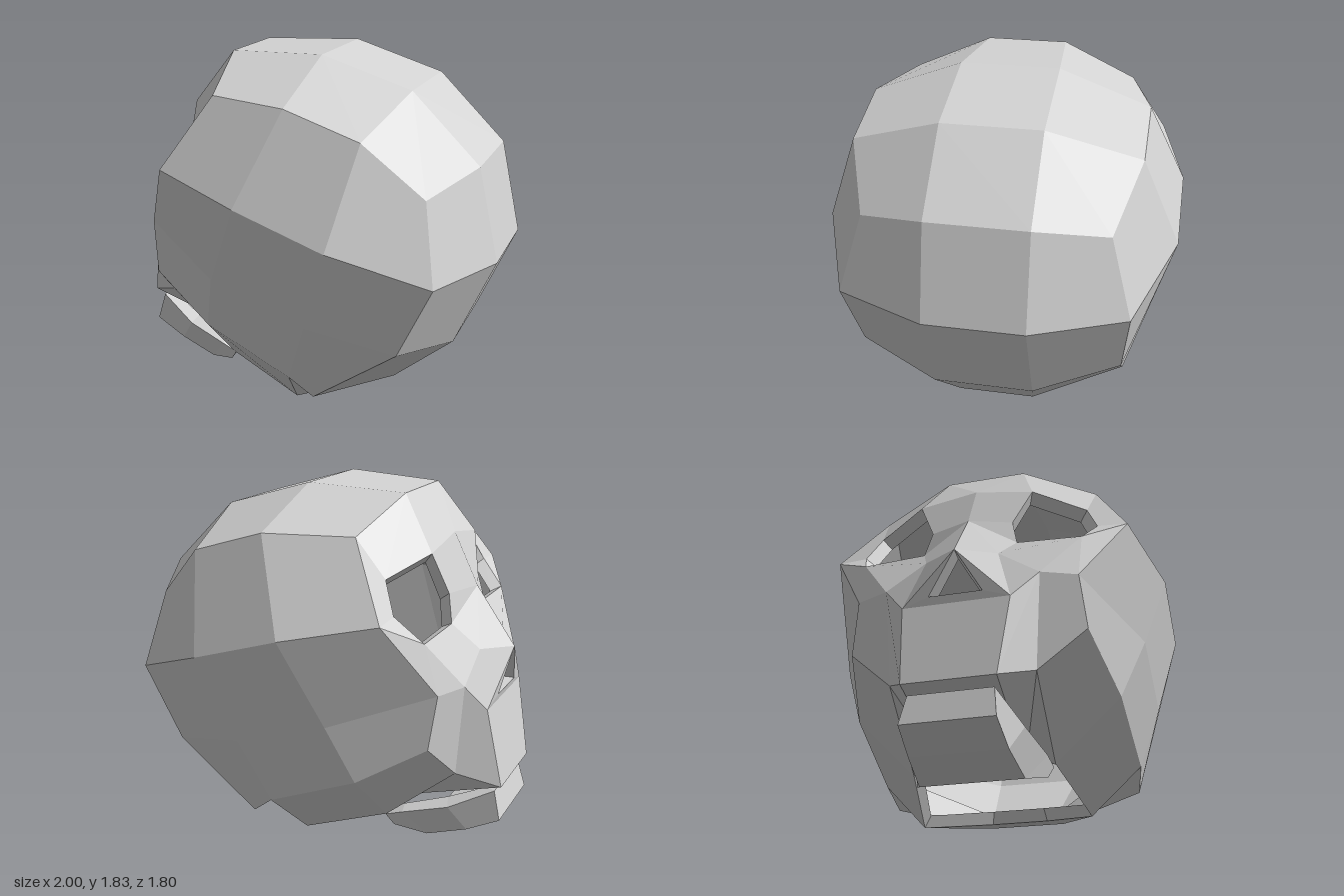
import * as THREE from 'three';

const v = (x, y, z) => new THREE.Vector3(x, y, z);
const row = (...pts) => pts.map((p) => v(...p));
const flip = (p) => v(p.x, p.y, -p.z);
const mean = (pts) => pts.reduce((s, p) => s.add(p), v(0, 0, 0)).divideScalar(pts.length);

// Thickness of the hollow shell, measured toward the middle of the head
const core = v(-0.05, 0.85, 0);
const inset = (p) => p.clone().add(core.clone().sub(p).setLength(0.07));

// Collects flat-shaded polygons and turns each one away from (or toward) a reference point
class Skin {
  constructor() { this.pos = []; this.nor = []; this.polys = []; }
  poly(pts, ref, toward = false) {
    this.polys.push({ pts, ref });
    const n = v(0, 0, 0);
    pts.forEach((p, i) => n.add(p.clone().cross(pts[(i + 1) % pts.length])));
    n.normalize();
    const turn = (n.dot(mean(pts).sub(ref)) > 0) === toward;
    if (turn) n.negate();
    for (let i = 1; i < pts.length - 1; i++) {
      const tri = turn ? [pts[0], pts[i + 1], pts[i]] : [pts[0], pts[i], pts[i + 1]];
      for (const p of tri) {
        this.pos.push(p.x, p.y, p.z);
        this.nor.push(n.x, n.y, n.z);
      }
    }
  }
  // the polygon and its mirror image across z = 0
  pair(pts, ref) {
    this.poly(pts, ref);
    this.poly(pts.map(flip), flip(ref));
  }
  // wall through the thickness of the shell around an opening
  rim(pts) {
    const mid = mean([...pts, ...pts.map(inset)]);
    pts.forEach((p, i) => {
      const q = pts[(i + 1) % pts.length];
      this.poly([p, q, inset(q), inset(p)], mid, true);
    });
  }
  mesh(name, material) {
    const g = new THREE.BufferGeometry();
    g.setAttribute('position', new THREE.Float32BufferAttribute(this.pos, 3));
    g.setAttribute('normal', new THREE.Float32BufferAttribute(this.nor, 3));
    const m = new THREE.Mesh(g, material);
    m.name = name;
    return m;
  }
}

export function createModel() {
  const bone = new THREE.MeshStandardMaterial({ color: 0xd4d4d4, side: THREE.DoubleSide });
  bone.name = 'bone grey';
  const group = new THREE.Group();
  group.name = 'skull';

  // Rows of the side of the head, top to bottom, each from the face to the back
  const side = [
    row([-0.36, 1.66, 0.59], [0.07, 1.66, 0.71], [0.45, 1.54, 0.71], [0.73, 1.27, 0.6]),
    row([-0.57, 1.31, 0.77], [-0.11, 1.21, 0.9], [0.35, 1.06, 0.9], [0.81, 0.88, 0.71]),
    row([-0.77, 0.94, 0.55], [-0.3, 0.78, 0.79], [0.2, 0.61, 0.79], [0.63, 0.49, 0.67]),
    row([-0.74, 0.67, 0.58], [-0.4, 0.46, 0.67], [0.07, 0.26, 0.69], [0.19, 0.16, 0.66]),
    row([-0.8, 0.46, 0.35], [-0.43, 0.14, 0.35], [0, 0, 0.44], [0.47, 0.1, 0.2]),
  ];
  // Edge of the strip that runs over the crown and down the back
  const crown = row([-0.44, 1.81, 0.21], [0.07, 1.83, 0.25], [0.54, 1.69, 0.25],
    [0.89, 1.35, 0.25], [1, 0.87, 0.25], [0.8, 0.4, 0.25]);
  crown.push(side[4][3]);
  const shoulder = [...side[0], side[1][3], side[2][3], side[3][3]];
  const baseBack = v(0.28, 0.07, 0.15);

  const cranium = new Skin();
  for (let r = 0; r < 4; r++) {
    for (let c = 0; c < 3; c++) {
      if (r === 3 && c === 2) continue;
      cranium.pair([side[r][c], side[r][c + 1], side[r + 1][c + 1], side[r + 1][c]], core);
    }
  }
  for (let i = 0; i < 6; i++) {
    cranium.pair([crown[i], crown[i + 1], shoulder[i + 1], shoulder[i]], core);
    cranium.poly([crown[i], crown[i + 1], flip(crown[i + 1]), flip(crown[i])], core);
  }
  // Folded corner under the ear and the underside behind the opening
  cranium.pair([side[3][2], side[3][3], crown[6]], core);
  cranium.pair([side[3][2], crown[6], side[4][2]], core);
  cranium.pair([crown[6], side[4][2], baseBack], core);
  cranium.poly([crown[6], baseBack, flip(baseBack), flip(crown[6])], core);
  group.add(cranium.mesh('cranium', bone));

  // Face: eye rim from inner brow round the outside to the nose
  const [browIn, browOut, eyeOut, eyeLow, eyeNose, eyeBridge] = row(
    [-0.62, 1.55, 0.3], [-0.5, 1.47, 0.56], [-0.57, 1.32, 0.62],
    [-0.7, 1.19, 0.56], [-0.71, 1.2, 0.24], [-0.68, 1.34, 0.21]);
  const [glabella, bridge, noseTip] = row([-0.62, 1.6, 0], [-0.75, 1.34, 0], [-0.96, 1.05, 0]);
  const [noseSide, cheek, upperLip, nostril, teeth, palateBack] = row([-0.84, 1.07, 0.18],
    [-0.84, 0.94, 0.38], [-0.92, 0.79, 0.26], [-0.93, 0.83, 0.13], [-1, 0.37, 0.22],
    [-0.4, 0.17, 0.2]);
  const temple = side[0][0], orbit = side[1][0], zygoma = side[2][0], molar = side[4][0];
  const face = new Skin();
  [
    [crown[0], temple, browOut, browIn],
    [temple, orbit, eyeOut, browOut],
    [orbit, eyeLow, eyeOut],
    [orbit, zygoma, eyeLow],
    [zygoma, cheek, eyeLow],
    [eyeLow, cheek, noseSide, eyeNose],
    [crown[0], browIn, glabella],
    [glabella, browIn, eyeBridge, bridge],
    [bridge, eyeBridge, eyeNose],
    [bridge, eyeNose, noseSide],
    [bridge, noseSide, noseTip],
    [noseSide, cheek, upperLip],
    [noseSide, upperLip, noseTip],
    [noseTip, upperLip, nostril],
    [zygoma, side[3][0], molar, cheek],
    [cheek, molar, teeth, upperLip],
    [molar, teeth, palateBack],
    [molar, palateBack, side[4][1]],
  ].forEach((pts) => face.pair(pts, v(-0.3, 0.95, 0.1)));
  face.poly([crown[0], glabella, flip(crown[0])], core);
  face.poly([nostril, upperLip, flip(upperLip), flip(nostril)], core);
  face.poly([upperLip, teeth, flip(teeth), flip(upperLip)], core);
  face.poly([teeth, palateBack, flip(palateBack), flip(teeth)], core);
  group.add(face.mesh('face', bone));

  // Inside of the hollow shell
  const lining = new Skin();
  for (const { pts, ref } of [...cranium.polys, ...face.polys]) {
    lining.poly(pts.map(inset), ref, true);
  }
  group.add(lining.mesh('innerShell', bone));

  // Edges of the openings
  const eyeRim = [browIn, browOut, eyeOut, eyeLow, eyeNose, eyeBridge];
  const sockets = new Skin();
  sockets.rim(eyeRim);
  sockets.rim(eyeRim.map(flip));
  group.add(sockets.mesh('eyeSocketRims', bone));

  const nose = new Skin();
  nose.rim([noseTip, nostril, flip(nostril)]);
  group.add(nose.mesh('nasalRim', bone));

  const half = [palateBack, side[4][1], side[4][2], baseBack];
  const base = new Skin();
  base.rim([...half, ...half.map(flip).reverse()]);
  group.add(base.mesh('skullBaseRim', bone));

  // Lower jaw: sections (outer top, outer bottom, inner bottom, inner top) swept round a U
  const arm = [
    row([-0.96, 0.33, 0.2], [-1, 0.18, 0.22], [-0.93, 0.2, 0.16], [-0.91, 0.32, 0.15]),
    row([-0.74, 0.22, 0.28], [-0.83, 0.09, 0.23], [-0.8, 0.14, 0.17], [-0.72, 0.25, 0.22]),
    row([-0.51, 0.16, 0.33], [-0.62, 0.02, 0.25], [-0.61, 0.07, 0.19], [-0.5, 0.18, 0.27]),
    row([-0.42, 0.13, 0.34], [-0.46, 0.07, 0.32], [-0.46, 0.08, 0.27], [-0.43, 0.13, 0.28]),
  ];
  const sections = [...arm.map((s) => s.map(flip)).reverse(), ...arm];
  const jaw = new Skin();
  for (let i = 0; i < sections.length - 1; i++) {
    const a = sections[i], b = sections[i + 1];
    const mid = mean([...a, ...b]);
    for (let k = 0; k < 4; k++) {
      const n = (k + 1) % 4;
      jaw.poly([a[k], a[n], b[n], b[k]], mid);
    }
  }
  jaw.pair(arm[3], mean(arm[2]));
  // Floor between the two arms and its upright back edge
  for (let i = 0; i < 2; i++) {
    const a = arm[i], b = arm[i + 1];
    jaw.poly([a[1], b[1], flip(b[1]), flip(a[1])], v(-0.7, 0.5, 0));
    jaw.poly([a[2], b[2], flip(b[2]), flip(a[2])], v(-0.7, 0.5, 0), true);
  }
  jaw.poly([arm[2][1], arm[2][2], flip(arm[2][2]), flip(arm[2][1])], v(-0.8, 0.1, 0));
  group.add(jaw.mesh('lowerJaw', bone));

  return group;
}
